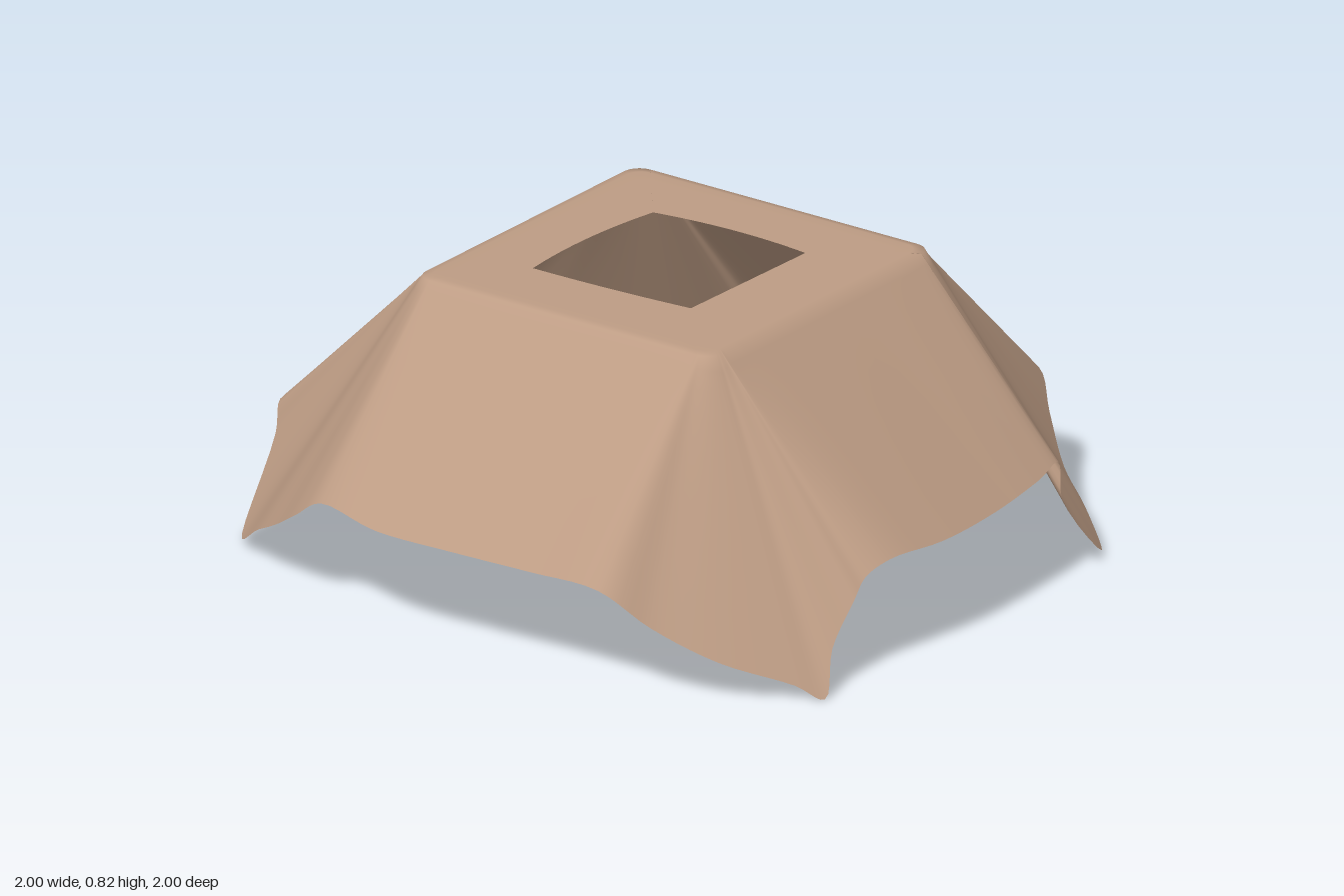
import * as THREE from 'three';
import { mergeVertices } from 'three/addons/utils/BufferGeometryUtils.js';

const TOP = 0.83; // height of the flat top
const CORE = 0.44; // half width of the flat top inside its rounded rim
const RIM = 0.05; // radius of the rim corners

// Lower hem, counter-clockwise seen from above, starting at the front: x, y, z
const HEM = [
  [0, 0.32, 0.99], [0.25, 0.32, 0.98], [0.48, 0.32, 0.98],
  [0.6, 0.22, 0.91], [0.75, 0.125, 0.81], [0.9, 0.05, 0.67], [0.96, 0.01, 0.62], // front left flap
  [0.94, 0.13, 0.56], [0.945, 0.24, 0.47], [0.96, 0.3, 0.44], [0.98, 0.33, 0.36],
  [1, 0.32, 0.15], [0.99, 0.32, -0.1], [0.97, 0.335, -0.32], [0.945, 0.34, -0.44],
  [0.955, 0.24, -0.44], [0.95, 0.03, -0.625], // back left flap
  [0.83, 0.1, -0.71], [0.71, 0.16, -0.78], [0.58, 0.25, -0.89], [0.47, 0.32, -0.99],
  [0.36, 0.32, -1], [0.05, 0.32, -1], [-0.25, 0.32, -1], [-0.39, 0.335, -0.98],
  [-0.465, 0.31, -0.96], [-0.46, 0.22, -0.97], [-0.63, 0.01, -0.97], // back right flap
  [-0.72, 0.06, -0.87], [-0.8, 0.12, -0.77], [-0.9, 0.22, -0.62], [-0.97, 0.32, -0.48],
  [-0.985, 0.32, -0.32], [-1, 0.32, -0.14], [-0.98, 0.32, 0.1], [-0.975, 0.33, 0.3],
  [-0.98, 0.34, 0.43], [-0.965, 0.26, 0.47], [-0.965, 0.02, 0.62], // front right flap
  [-0.8, 0.12, 0.77], [-0.68, 0.19, 0.85], [-0.56, 0.27, 0.925], [-0.46, 0.335, 0.95],
  [-0.25, 0.32, 0.99],
].map((p) => new THREE.Vector3(...p));

// Point on the edge of the slightly uneven square opening; u and v run from -1 to 1
function openingPoint(u, v) {
  const mix = THREE.MathUtils.lerp;
  const s = (u + 1) / 2;
  const t = (v + 1) / 2;
  const x = mix(mix(-0.25, 0.245, s), mix(-0.27, 0.235, s), t);
  const z = mix(mix(-0.245, -0.255, s), mix(0.262, 0.24, s), t);
  const bow = 0.02;
  return new THREE.Vector3(
    x + (u < 0 ? u * bow * (1 - v * v) : 0), TOP,
    z + v * bow * (v < 0 ? 1 : 0.3) * (1 - u * u));
}

function clothGeometry() {
  const perSegment = 5;
  const count = HEM.length * perSegment;
  const curve = new THREE.CatmullRomCurve3(HEM, true, 'centripetal');
  const topSteps = [0, 0.4, 0.75, 0.9, 1];
  const sideSteps = [0.05, 0.12, 0.22, 0.35, 0.5, 0.65, 0.82, 1];
  const rows = topSteps.length + sideSteps.length;
  const positions = [];
  const index = [];

  // Each strip runs from the opening over the rim and straight down to the hem
  for (let i = 0; i < count; i++) {
    const hem = curve.getPoint(i / count);
    const core = new THREE.Vector3(
      THREE.MathUtils.clamp(hem.x, -CORE, CORE), 0,
      THREE.MathUtils.clamp(hem.z, -CORE, CORE));
    const rim = hem.clone().setY(0).sub(core).setLength(RIM).add(core).setY(TOP - 0.003);
    const opening = openingPoint(core.x / CORE, core.z / CORE);
    for (const t of topSteps) {
      const p = opening.clone().lerp(rim, t);
      if (t < 1) p.y = TOP;
      positions.push(p.x, p.y, p.z);
    }
    for (const t of sideSteps) positions.push(...rim.clone().lerp(hem, t).toArray());
  }

  for (let i = 0; i < count; i++) {
    for (let j = 0; j < rows - 1; j++) {
      const a = i * rows + j;
      const d = ((i + 1) % count) * rows + j;
      index.push(a, a + 1, d + 1, a, d + 1, d);
    }
  }

  let geometry = new THREE.BufferGeometry();
  geometry.setAttribute('position', new THREE.Float32BufferAttribute(positions, 3));
  geometry.setIndex(index);
  geometry = mergeVertices(geometry, 1e-5);
  geometry.computeVertexNormals();
  return geometry;
}

export function createModel() {
  const group = new THREE.Group();
  group.name = 'drapedCloth';
  const material = new THREE.MeshStandardMaterial({ color: 0xbd9c84, side: THREE.DoubleSide });
  const cloth = new THREE.Mesh(clothGeometry(), material);
  cloth.name = 'clothWithOpening';
  group.add(cloth);
  return group;
}
